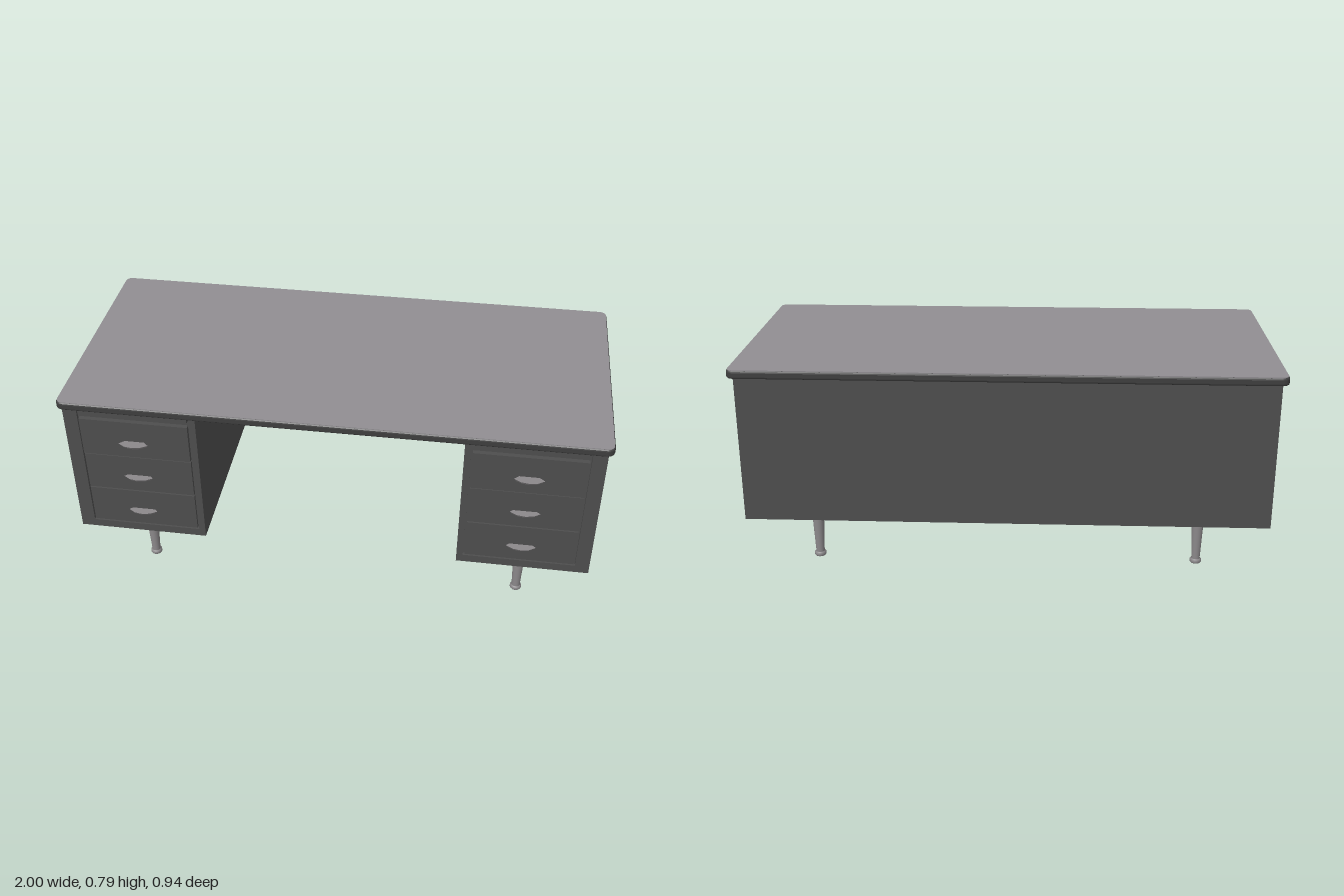
import * as THREE from 'three';

export function createModel() {
  const desk = new THREE.Group();
  const body = new THREE.MeshStandardMaterial({ name: 'charcoal body', color: 0x4e4e4e });
  const rim = new THREE.MeshStandardMaterial({ name: 'dark edging', color: 0x3e3e3e });
  const laminate = new THREE.MeshStandardMaterial({ name: 'grey laminate', color: 0x918e92 });
  const metal = new THREE.MeshStandardMaterial({ name: 'brushed metal', color: 0x8c898b });

  function add(parent, name, geometry, material, x = 0, y = 0, z = 0) {
    const mesh = new THREE.Mesh(geometry, material);
    mesh.name = name;
    mesh.position.set(x, y, z);
    parent.add(mesh);
    return mesh;
  }

  // Box given by its limits on each axis
  function box(parent, name, material, [x0, x1], [y0, y1], [z0, z1]) {
    return add(parent, name, new THREE.BoxGeometry(x1 - x0, y1 - y0, z1 - z0), material,
      (x0 + x1) / 2, (y0 + y1) / 2, (z0 + z1) / 2);
  }

  function roundedRect(w, h, r) {
    const s = new THREE.Shape();
    s.absarc(w / 2 - r, h / 2 - r, r, 0, Math.PI / 2);
    s.absarc(-w / 2 + r, h / 2 - r, r, Math.PI / 2, Math.PI);
    s.absarc(-w / 2 + r, -h / 2 + r, r, Math.PI, Math.PI * 1.5);
    s.absarc(w / 2 - r, -h / 2 + r, r, Math.PI * 1.5, Math.PI * 2);
    s.closePath();
    return s;
  }

  // Horizontal slab whose underside sits at y = 0
  function slab(w, d, h, r, bevel) {
    const geo = new THREE.ExtrudeGeometry(roundedRect(w - 2 * bevel, d - 2 * bevel, r), {
      depth: h - 2 * bevel, bevelEnabled: bevel > 0, bevelSize: bevel,
      bevelThickness: bevel, bevelSegments: 3, curveSegments: 6,
    });
    return geo.translate(0, 0, bevel).rotateX(-Math.PI / 2);
  }

  // Worktop: dark bevelled edging with a thin laminate sheet
  const top = new THREE.Group();
  top.name = 'worktop';
  top.position.z = -0.0135;
  desk.add(top);
  add(top, 'edging', slab(2, 0.917, 0.031, 0.02, 0.008), rim, 0, 0.754, 0);
  add(top, 'laminateSheet', slab(1.992, 0.909, 0.003, 0.024, 0), laminate, 0, 0.784, 0);

  // Full-width panel closing the back
  box(desk, 'backPanel', body, [-0.98, 0.98], [0.19, 0.756], [-0.44, -0.42]);

  // Pull: a blade with a shallow pointed outline, undercut below
  const pullShape = new THREE.Shape([
    [-0.035, 0], [0.035, 0], [0.055, 0.018], [0.03, 0.034],
    [0, 0.039], [-0.03, 0.034], [-0.055, 0.018],
  ].map(([x, z]) => new THREE.Vector2(x, -z)));
  const pullGeo = new THREE.ExtrudeGeometry(pullShape, { depth: 0.012, bevelEnabled: false });
  pullGeo.rotateX(-Math.PI / 2).translate(0, -0.006, 0);
  const p = pullGeo.attributes.position;
  for (let i = 0; i < p.count; i++) {
    if (p.getY(i) < 0) p.setXYZ(i, p.getX(i) * 0.85, p.getY(i), p.getZ(i) * 0.78);
  }
  pullGeo.computeVertexNormals();

  // Turned leg with a collar foot
  const legGeo = new THREE.LatheGeometry([
    [0, 0], [0.019, 0], [0.022, 0.004], [0.022, 0.013], [0.018, 0.017],
    [0.016, 0.018], [0.023, 0.187],
  ].map(([r, y]) => new THREE.Vector2(r, y)), 20);

  for (const side of [-1, 1]) {
    const pedestal = new THREE.Group();
    pedestal.name = side > 0 ? 'leftPedestal' : 'rightPedestal';
    desk.add(pedestal);
    const span = (a, b) => (side > 0 ? [a, b] : [-b, -a]);

    box(pedestal, 'carcass', body, span(0.485, 0.98), [0.19, 0.756], [-0.42, 0.418]);

    // Front frame around the drawer opening
    const [fx0, fx1] = span(0.485, 0.98);
    const [hx0, hx1] = span(0.509, 0.927);
    const rect = (C, x0, x1, y0, y1) => new C([
      new THREE.Vector2(x0, y0), new THREE.Vector2(x1, y0),
      new THREE.Vector2(x1, y1), new THREE.Vector2(x0, y1),
    ]);
    const frame = rect(THREE.Shape, fx0, fx1, 0.19, 0.756);
    frame.holes.push(rect(THREE.Path, hx0, hx1, 0.222, 0.753));
    add(pedestal, 'frontFrame', new THREE.ExtrudeGeometry(frame, { depth: 0.012, bevelEnabled: false }),
      body, 0, 0, 0.418);

    // Pull-out writing board and three drawers
    box(pedestal, 'writingBoard', body, span(0.515, 0.921), [0.733, 0.75], [0.418, 0.434]);
    [[0.228, 0.387, 0.43], [0.393, 0.551, 0.431], [0.557, 0.715, 0.435]].forEach(([y0, y1, z], i) => {
      box(pedestal, 'drawer' + (3 - i), body, span(0.515, 0.921), [y0, y1], [0.418, z]);
      add(pedestal, 'pull' + (3 - i), pullGeo, metal, side * 0.72, [0.296, 0.461, 0.624][i],
        [0.423, 0.423, 0.434][i]);
    });

    // Legs on square mounting plates
    for (const z of [0.345, -0.348]) {
      add(pedestal, 'leg', legGeo, metal, side * 0.724, 0, z);
      box(pedestal, 'legPlate', metal, [side * 0.724 - 0.044, side * 0.724 + 0.044],
        [0.184, 0.191], [z - 0.044, z + 0.044]);
    }
  }
  return desk;
}
